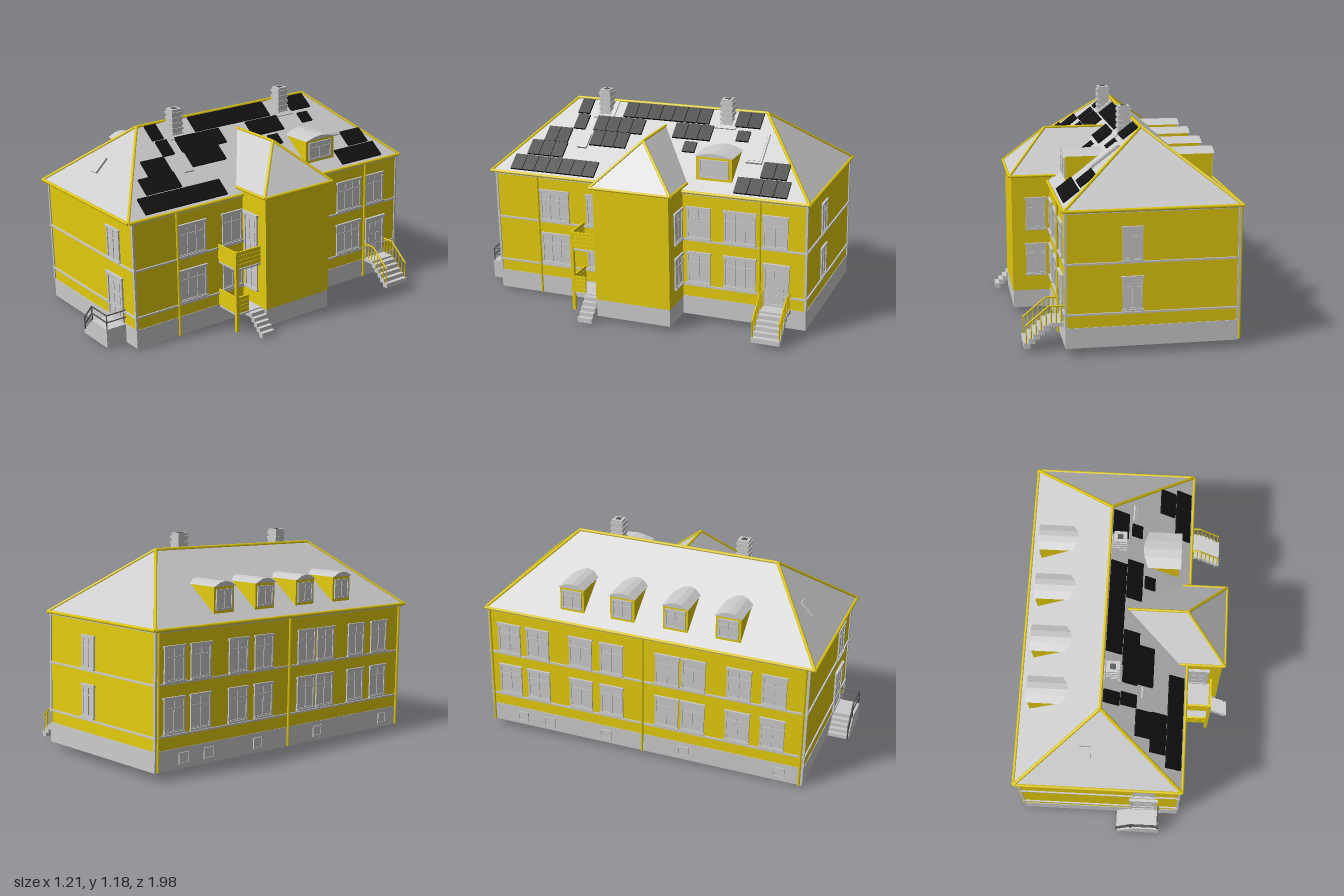
import * as THREE from 'three';
import { ConvexGeometry } from 'three/addons/geometries/ConvexGeometry.js';

const mat = (color, extra = {}) => new THREE.MeshStandardMaterial({ color, ...extra });
const GREY = mat(0xcccccc, { side: THREE.DoubleSide });
const YELLOW = mat(0xe3cb0d);
const BLACK = mat(0x111111);
const IRON = mat(0x555555);

// Main dimensions
const L = -0.57, R = 0.322, F = 0.87, B = -0.975;
const EAVE = 0.74, RIDGE = 1.09, RX = -0.125, EL = -0.585, ER = 0.333, EF = 0.9, EB = -0.99;
const SLOPE = (RIDGE - EAVE) / (ER - RX);
const V = (x, y, z) => new THREE.Vector3(x, y, z);

function add(parent, name, geo, material) {
  const m = new THREE.Mesh(geo, material);
  m.name = name;
  parent.add(m);
  return m;
}
// Box given by its lower and upper limits
function box(p, name, x0, x1, y0, y1, z0, z1, material) {
  const m = add(p, name, new THREE.BoxGeometry(x1 - x0, y1 - y0, z1 - z0), material);
  m.position.set((x0 + x1) / 2, (y0 + y1) / 2, (z0 + z1) / 2);
  return m;
}
// Round bar between two points
function bar(p, name, a, b, r, material) {
  const m = add(p, name, new THREE.CylinderGeometry(r, r, a.distanceTo(b), 6), material);
  m.position.copy(a).add(b).multiplyScalar(0.5);
  m.quaternion.setFromUnitVectors(V(0, 1, 0), b.clone().sub(a).normalize());
}
function hull(p, name, pts, material) {
  return add(p, name, new ConvexGeometry(pts.map(a => V(...a))), material);
}
// Group facing outward on a wall
function onWall(p, name, side, u, y) {
  const g = new THREE.Group();
  g.name = name;
  const [x, z, ry] = {
    front: [u, F, 0], back: [u, B, Math.PI], right: [R, u, Math.PI / 2], left: [L, u, -Math.PI / 2],
    wingFront: [u, 0.165, 0], wingBack: [u, -0.275, Math.PI],
  }[side];
  g.position.set(x, y, z);
  g.rotation.y = ry;
  p.add(g);
  return g;
}
function frame(g, w, h, t, d) {
  for (const s of [-1, 1]) {
    box(g, 'frameSide', s * w / 2 - t / 2, s * w / 2 + t / 2, 0, h, 0, d, GREY);
    box(g, 'frameRail', -w / 2, w / 2, s > 0 ? h - t : 0, s > 0 ? h : t, 0, d, GREY);
  }
}
function fillWindow(g, w, h, panes = 2) {
  box(g, 'pane', -w / 2, w / 2, 0, h, -0.004, 0.003, GREY);
  frame(g, w, h, 0.01, 0.008);
  for (let i = 1; i < panes; i++) {
    const x = -w / 2 + w * i / panes;
    box(g, 'mullion', x - 0.003, x + 0.003, 0, h, 0, 0.007, GREY);
  }
  box(g, 'transom', -w / 2, w / 2, h * 0.68, h * 0.72, 0, 0.007, GREY);
}
function windowOn(p, side, u, y, w, h, panes) {
  const g = onWall(p, 'window', side, u, y);
  fillWindow(g, w, h, panes);
  box(g, 'lintel', -w / 2 - 0.01, w / 2 + 0.01, h - 0.004, h + 0.008, 0, 0.012, GREY);
  box(g, 'sill', -w / 2 - 0.008, w / 2 + 0.008, -0.006, 0.004, 0, 0.014, GREY);
}
function doorOn(p, side, u, y, w, h) {
  const g = onWall(p, 'door', side, u, y);
  box(g, 'doorLeaf', -w / 2, w / 2, 0, h, -0.004, 0.004, GREY);
  frame(g, w, h, 0.012, 0.01);
  for (const s of [-1, 1]) for (let k = 0; k < 3; k++)
    box(g, 'doorPanel', s * w * 0.2 - w * 0.13, s * w * 0.2 + w * 0.13, h * (0.1 + k * 0.28), h * (0.32 + k * 0.28), 0, 0.007, GREY);
  box(g, 'lintel', -w / 2 - 0.012, w / 2 + 0.012, h - 0.004, h + 0.01, 0, 0.016, GREY);
}
// Fitting that lies on the right roof slope
function onSlope(p, name, x, z, w, d, t, material) {
  const m = add(p, name, new THREE.BoxGeometry(w / Math.cos(Math.atan(SLOPE)), t, d), material);
  m.position.set(x, EAVE + (ER - x) * SLOPE + 0.004, z);
  m.rotation.z = -Math.atan(SLOPE);
}
// Hip trim and eave gutters
function trim(p, lines, r = 0.009) {
  for (const [a, b] of lines) bar(p, 'roofTrim', V(...a), V(...b), r, YELLOW);
}
function dormer(p, s, z, w, xf, ye, yp) {
  const g = new THREE.Group();
  g.name = 'dormer';
  const e = s > 0 ? ER : EL, run = y => e - s * (y - EAVE) / SLOPE;
  const y0 = EAVE + Math.abs(e - xf) * SLOPE - 0.01;
  const body = [], roof = [[xf + s * 0.01, yp, z], [run(yp), yp, z]];
  for (const k of [-1, 1]) {
    body.push([xf, y0, z + k * w], [xf, ye, z + k * w], [run(ye) - s * 0.01, ye, z + k * w]);
    roof.push([xf + s * 0.01, ye, z + k * (w + 0.006)], [run(ye), ye, z + k * (w + 0.006)]);
    roof.push([xf + s * 0.01, yp - 0.006, z + k * w * 0.5], [run(yp - 0.006), yp - 0.006, z + k * w * 0.5]);
  }
  hull(g, 'dormerWalls', body, YELLOW);
  hull(g, 'dormerRoof', roof, GREY);
  const win = new THREE.Group();
  win.name = 'dormerWindow';
  win.position.set(xf, y0 + 0.025, z);
  win.rotation.y = s * Math.PI / 2;
  fillWindow(win, w * 1.5, ye - y0 - 0.04);
  g.add(win);
  p.add(g);
}
// Flight descending from x0 to x1
function stairs(p, x0, x1, top, z0, z1, n, bottom) {
  for (let i = 0; i < n; i++) {
    const a = x0 + (x1 - x0) * i / n, b = x0 + (x1 - x0) * (i + 1) / n, y = top - (top - bottom) * (i + 0.5) / n;
    box(p, 'step', Math.min(a, b) - 0.004, Math.max(a, b) + 0.004, y - 0.028, y, z0, z1, GREY);
  }
}

export function createModel() {
  const model = new THREE.Group(), h = new THREE.Group();
  h.name = 'house';
  h.rotation.set(0.02, 0.013, 0);
  model.add(h);

  // Foundation skirt, open below
  const y0 = 0.022, yb = 0.13;
  const skirt = [[L, L, B, F], [R, R, B, F], [L, R, F, F], [L, R, B, B],
    [0.525, 0.525, -0.27, 0.16], [R, 0.525, 0.16, 0.16], [R, 0.525, -0.27, -0.27]];
  for (const [a, b, c, d] of skirt) box(h, 'foundation', a - 0.003, b + 0.003, y0, yb, c - 0.003, d + 0.003, GREY);
  for (const z of [0.74, 0.19, -0.27, -0.62, -0.79]) {
    const g = onWall(h, 'basementWindow', 'left', z, 0.045);
    box(g, 'pane', -0.03, 0.03, 0, 0.06, -0.008, 0.006, GREY);
    frame(g, 0.06, 0.06, 0.008, 0.01);
  }

  // Walls, belts and corner strips
  box(h, 'mainWalls', L, R, yb, EAVE, B, F, YELLOW);
  box(h, 'wingWalls', R - 0.05, 0.53, 0.122, 0.775, -0.275, 0.165, YELLOW);
  for (const [y, t] of [[0.2, 0.01], [0.465, 0.01], [0.732, 0.014]])
    box(h, 'beltCourse', L - 0.008, R + 0.008, y - t / 2, y + t / 2, B - 0.008, F + 0.008, GREY);
  for (const x of [L, R]) for (const z of [B, F])
    box(h, 'cornerStrip', x - 0.006, x + 0.006, yb, EAVE, z - 0.006, z + 0.006, GREY);
  for (const [x, z] of [[R + 0.012, 0.605], [R + 0.012, -0.72], [L - 0.012, F - 0.015], [L - 0.012, -0.05], [L - 0.012, B + 0.01]])
    bar(h, 'downpipe', V(x, 0.025, z), V(x, EAVE, z), 0.007, YELLOW);

  // Main hip roof
  const rf = [RX, RIDGE, 0.545], rb = [RX, RIDGE, -0.615];
  const c = [[EL, EAVE, EF], [ER, EAVE, EF], [ER, EAVE, EB], [EL, EAVE, EB]];
  hull(h, 'mainRoof', [...c, rf, rb], GREY);
  trim(h, [[rf, rb], [c[0], rf], [c[1], rf], [c[2], rb], [c[3], rb], ...c.map((p, i) => [p, c[(i + 1) % 4]])]);

  // Wing hip roof
  const wi = [-0.01, 1.0, -0.05], wo = [0.32, 1.0, -0.05], wy = 0.775;
  const wf = [0.542, wy, 0.18], wb = [0.542, wy, -0.29];
  hull(h, 'wingRoof', [wi, wo, wf, wb, [0.28, wy, 0.18], [0.28, wy, -0.29]], GREY);
  trim(h, [[wi, wo], [wo, wf], [wo, wb], [wf, wb], [wf, [0.29, wy, 0.18]], [wb, [0.29, wy, -0.29]]], 0.008);

  // Dormers
  for (const z of [-0.485, -0.19, 0.115, 0.41]) dormer(h, -1, z, 0.07, -0.525, 0.925, 0.952);
  dormer(h, 1, -0.435, 0.103, 0.262, 0.928, 0.95);

  // Chimneys of alternating courses
  for (const z of [0.337, -0.403]) {
    onSlope(h, 'chimneyFlashing', -0.065, z, 0.1, 0.12, 0.008, GREY);
    for (let i = 0; i < 12; i++) {
      const r = i % 2 ? 0.031 : 0.036, y = 0.99 + i * 0.015;
      box(h, 'chimneyCourse', -0.068 - r, -0.068 + r, y, y + 0.015, z - r, z + r, GREY);
    }
    box(h, 'chimneyFlue', -0.083, -0.053, 1.168, 1.172, z - 0.015, z + 0.015, IRON);
  }

  // Roof hatches
  onSlope(h, 'skylight', 0.075, -0.625, 0.16, 0.09, 0.018, GREY);
  onSlope(h, 'skylightPane', 0.075, -0.625, 0.14, 0.07, 0.023, GREY);
  onSlope(h, 'skylight', 0.125, 0.4, 0.075, 0.06, 0.018, GREY);
  const hatch = add(h, 'frontSkylight', new THREE.BoxGeometry(0.06, 0.016, 0.1), GREY);
  hatch.position.set(-0.2, 0.895, 0.748);
  hatch.rotation.x = Math.atan(0.35 / 0.355);

  // Solar panels: slope position, then places along the roof
  const panels = [
    [-0.072, [-0.565, -0.49, -0.265, -0.19, -0.115, -0.04, 0.035, 0.11, 0.185, 0.47]],
    [0.018, [-0.52, -0.3, -0.225, -0.15, 0.11, 0.185, 0.26, 0.335, 0.46]],
    [0.102, [-0.235, 0.175, 0.25, 0.325, 0.535, 0.61]],
    [0.185, [-0.795, -0.72, 0.53, 0.605, 0.68]],
    [0.275, [-0.825, -0.75, -0.675, -0.6, 0.295, 0.37, 0.445, 0.52, 0.595, 0.67, 0.745]],
  ];
  for (const [x, zs] of panels) for (const z of zs)
    onSlope(h, 'solarPanel', x, z, z === -0.52 || z === -0.235 ? 0.055 : 0.082, 0.072, 0.016, BLACK);

  // Windows and doors
  for (const y of [0.215, 0.475]) {
    for (const z of [-0.855, -0.68, -0.42, -0.235, 0.09, 0.24, 0.495, 0.69]) windowOn(h, 'left', z, y, 0.125, 0.175);
    windowOn(h, 'back', -0.02, y, 0.095, 0.17);
    windowOn(h, 'wingBack', 0.4, y, 0.1, 0.17);
    windowOn(h, 'right', 0.505, y, 0.17, 0.175, 3);
    windowOn(h, 'right', -0.368, y, 0.125, 0.175);
    windowOn(h, 'right', -0.605, y, 0.17, 0.175, 3);
    windowOn(h, 'right', 0.24, y, 0.12, 0.175);
  }
  windowOn(h, 'right', -0.803, 0.475, 0.13, 0.175);
  windowOn(h, 'front', 0.125, 0.47, 0.115, 0.18);
  doorOn(h, 'front', 0.125, yb, 0.14, 0.25);
  doorOn(h, 'right', -0.812, 0.14, 0.13, 0.235);
  doorOn(h, 'wingFront', 0.402, 0.4, 0.105, 0.245);
  windowOn(h, 'wingFront', 0.402, 0.215, 0.1, 0.15);

  // Front landing with steps and rail
  box(h, 'frontLanding', 0.06, 0.215, 0.021, 0.128, F, 0.993, GREY);
  for (let i = 0; i < 4; i++) box(h, 'frontStep', -0.03 + i * 0.022, 0.06, 0.021 + i * 0.021, 0.042 + i * 0.021, F, 0.993, GREY);
  for (const dy of [0, 0.04]) {
    const a = V(-0.03, 0.112 - dy, 0.987), b = V(0.055, 0.207 - dy, 0.987), e = V(0.21, 0.207 - dy, 0.987);
    bar(h, 'frontRail', a, b, 0.004, IRON);
    bar(h, 'frontRail', b, e, 0.004, IRON);
    bar(h, 'frontRail', e, V(0.21, 0.207 - dy, F), 0.004, IRON);
  }
  for (const [x, yl, yt] of [[-0.03, 0.022, 0.112], [0.055, 0.12, 0.207], [0.21, 0.12, 0.207]])
    bar(h, 'frontRailPost', V(x, yl, 0.987), V(x, yt, 0.987), 0.004, IRON);

  // Two-storey porch with boarded parapets
  box(h, 'porchPost', 0.469, 0.487, 0.02, 0.488, 0.317, 0.335, YELLOW);
  for (const [y, zs] of [[0.125, 0.25], [0.388, 0.168]]) {
    box(h, 'porchFloor', R, 0.485, y - 0.01, y, 0.165, 0.33, GREY);
    for (let i = 0; i < 4; i++) {
      const b = y + 0.004 + i * 0.024;
      box(h, 'parapetBoard', R, 0.482, b, b + 0.022, 0.324, 0.334, YELLOW);
      box(h, 'parapetBoard', 0.476, 0.486, b, b + 0.022, zs, 0.33, YELLOW);
    }
  }
  stairs(h, 0.485, 0.598, 0.13, 0.165, 0.25, 5, 0.02);

  // Side stairs with balustrade
  box(h, 'sideLanding', R, 0.4, 0.115, 0.135, -0.895, -0.735, GREY);
  stairs(h, 0.4, 0.525, 0.135, -0.895, -0.735, 5, 0.022);
  for (const z of [-0.89, -0.74]) {
    bar(h, 'sideRail', V(R, 0.225, z), V(0.4, 0.225, z), 0.005, YELLOW);
    bar(h, 'sideRail', V(0.4, 0.225, z), V(0.52, 0.125, z), 0.005, YELLOW);
    for (let i = 0; i < 8; i++) {
      const x = 0.335 + i * 0.026, d = Math.max(0, x - 0.4) * 0.83;
      bar(h, 'baluster', V(x, 0.125 - d, z), V(x, 0.225 - d, z), 0.0035, YELLOW);
    }
  }
  return model;
}
